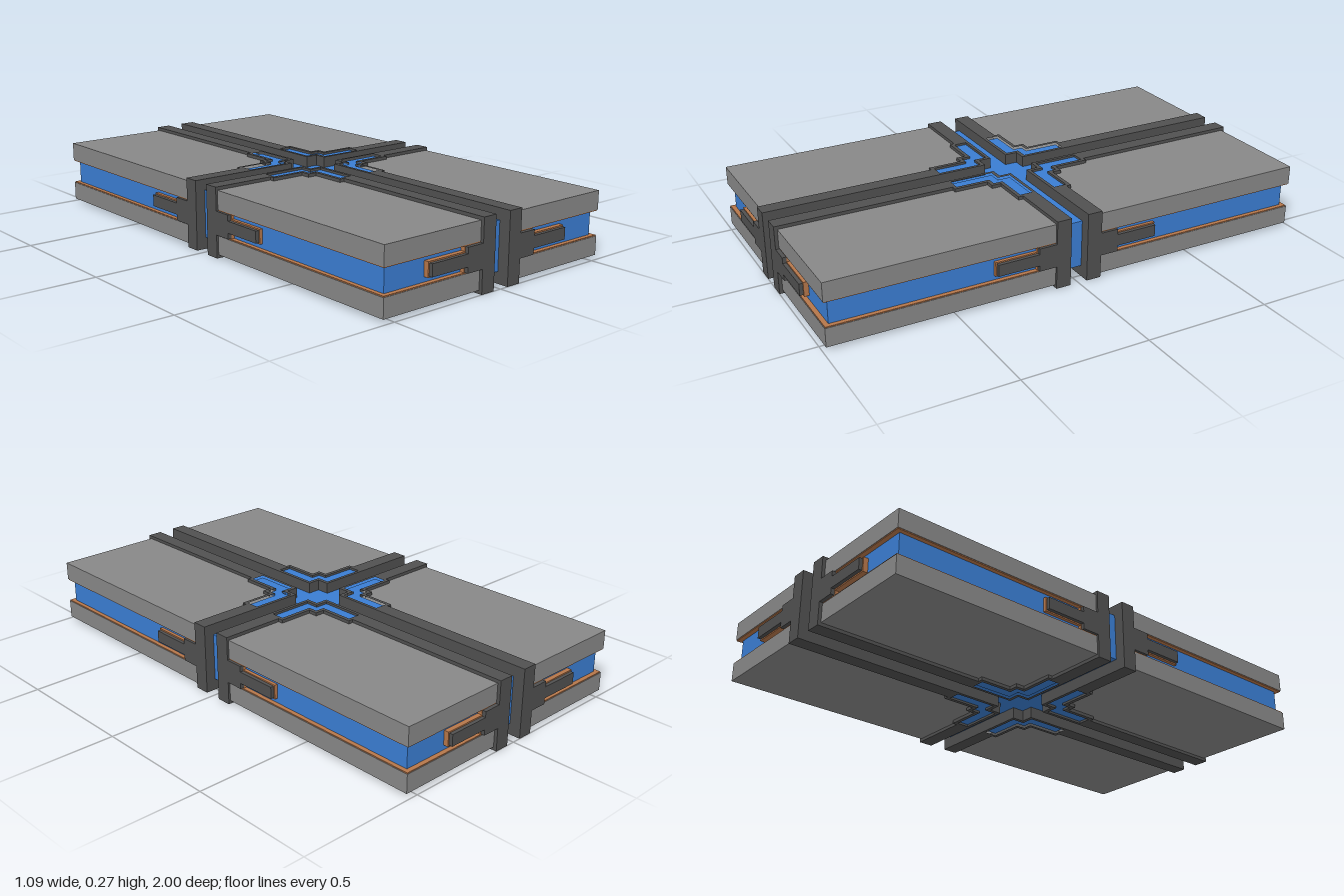
import * as THREE from 'three';

const mat = (color) => new THREE.MeshStandardMaterial({ color, flatShading: true });

export function createModel() {
  const root = new THREE.Group();
  root.name = 'crossPanelBlock';
  const blue = mat(0x3a7dd2), dark = mat(0x505050), grey = mat(0x878787), orange = mat(0xb5764a);
  const H = 0.273, MID = H / 2;

  const add = (parent, name, geometry, material) => {
    const mesh = new THREE.Mesh(geometry, material);
    mesh.name = name;
    parent.add(mesh);
  };
  // Box given by its limits, mirrored into the quadrant (sx, sz)
  const box = (parent, name, material, [x0, x1], [y0, y1], [z0, z1], sx = 1, sz = 1) => {
    const g = new THREE.BoxGeometry(x1 - x0, y1 - y0, z1 - z0);
    g.translate(sx * (x0 + x1) / 2, (y0 + y1) / 2, sz * (z0 + z1) / 2);
    add(parent, name, g, material);
  };
  // Vertical prism from a plan outline in x and z
  const prism = (shape, y0, y1) =>
    new THREE.ExtrudeGeometry(shape, { depth: y1 - y0, bevelEnabled: false })
      .rotateX(Math.PI / 2).translate(0, y1, 0);

  // Plan of the frame: two rails with a stepped corner, notched at the centre
  const framePlan = [
    [0.035, 1], [0.095, 1], [0.095, 0.292], [0.115, 0.292], [0.115, 0.153], [0.153, 0.153],
    [0.153, 0.115], [0.292, 0.115], [0.292, 0.095], [0.545, 0.095], [0.545, 0.035],
    [0.085, 0.035], [0.085, 0.085], [0.035, 0.085],
  ];
  // Plan of the stepped inlay inside the frame corner
  const inlayPlan = [
    [0.048, 0.278], [0.1, 0.278], [0.1, 0.138], [0.138, 0.138], [0.138, 0.1],
    [0.278, 0.1], [0.278, 0.048], [0.1, 0.048], [0.1, 0.1], [0.048, 0.1],
  ];

  // Central cross filling the channels
  const cross = new THREE.Group();
  cross.name = 'centralCross';
  root.add(cross);
  box(cross, 'longCoreBar', blue, [-0.034, 0.034], [0.045, 0.23], [-0.955, 0.955]);
  for (const s of [1, -1]) {
    box(cross, 'crossCoreBar', blue, [0.034, 0.505], [0.045, 0.23], [-0.034, 0.034], s);
    box(cross, 'centreBlock', blue, [0.034, 0.085], [0.045, 0.23], [0.034, 0.085], s, 1);
    box(cross, 'centreBlock', blue, [0.034, 0.085], [0.045, 0.23], [0.034, 0.085], s, -1);
  }

  for (const sx of [1, -1]) for (const sz of [1, -1]) {
    const quarter = new THREE.Group();
    quarter.name = (sz > 0 ? 'front' : 'back') + (sx > 0 ? 'Left' : 'Right') + 'Quarter';
    root.add(quarter);
    const points = (plan) => plan.map(([x, z]) => new THREE.Vector2(sx * x, sz * z));

    // Rail frame and its inlay
    const frame = new THREE.Shape(points(framePlan));
    frame.holes.push(new THREE.Path(points(inlayPlan)));
    add(quarter, 'railFrame', prism(frame, 0, H), dark);
    add(quarter, 'cornerInlay', prism(new THREE.Shape(points(inlayPlan)), 0.009, H - 0.009), blue);

    // Blue core between two plates, with thin liners
    box(quarter, 'core', blue, [0.09, 0.518], [0.086, 0.187], [0.09, 0.967], sx, sz);
    for (const [name, lo, hi, la, lb] of [
      ['lowerPlate', 0.013, 0.086, 0.086, 0.09],
      ['upperPlate', H - 0.086, H - 0.013, H - 0.09, H - 0.086],
    ]) {
      box(quarter, name, grey, [0.09, 0.537], [lo, hi], [0.09, 0.987], sx, sz);
      box(quarter, name + 'Liner', orange, [0.09, 0.535], [la, lb], [0.09, 0.985], sx, sz);
    }

    // Shoulder and tongue brackets on the end and on the side
    const parts = [
      ['Shoulder', dark, [0.09, 0.167], 0.046, -0.015, 0],
      ['ShoulderLiner', orange, [0.09, 0.169], 0.047, -0.034, -0.015],
      ['Tongue', dark, [0.167, 0.335], 0.023, -0.015, 0],
      ['TongueLiner', orange, [0.167, 0.34], 0.028, -0.034, -0.014],
    ];
    for (const [name, m, along, half, d0, d1] of parts) {
      const y = [MID - half, MID + half];
      box(quarter, 'end' + name, m, along, y, [1 + d0, 1 + d1], sx, sz);
      box(quarter, 'side' + name, m, [0.545 + d0, 0.545 + d1], y, along, sx, sz);
    }
  }
  return root;
}
